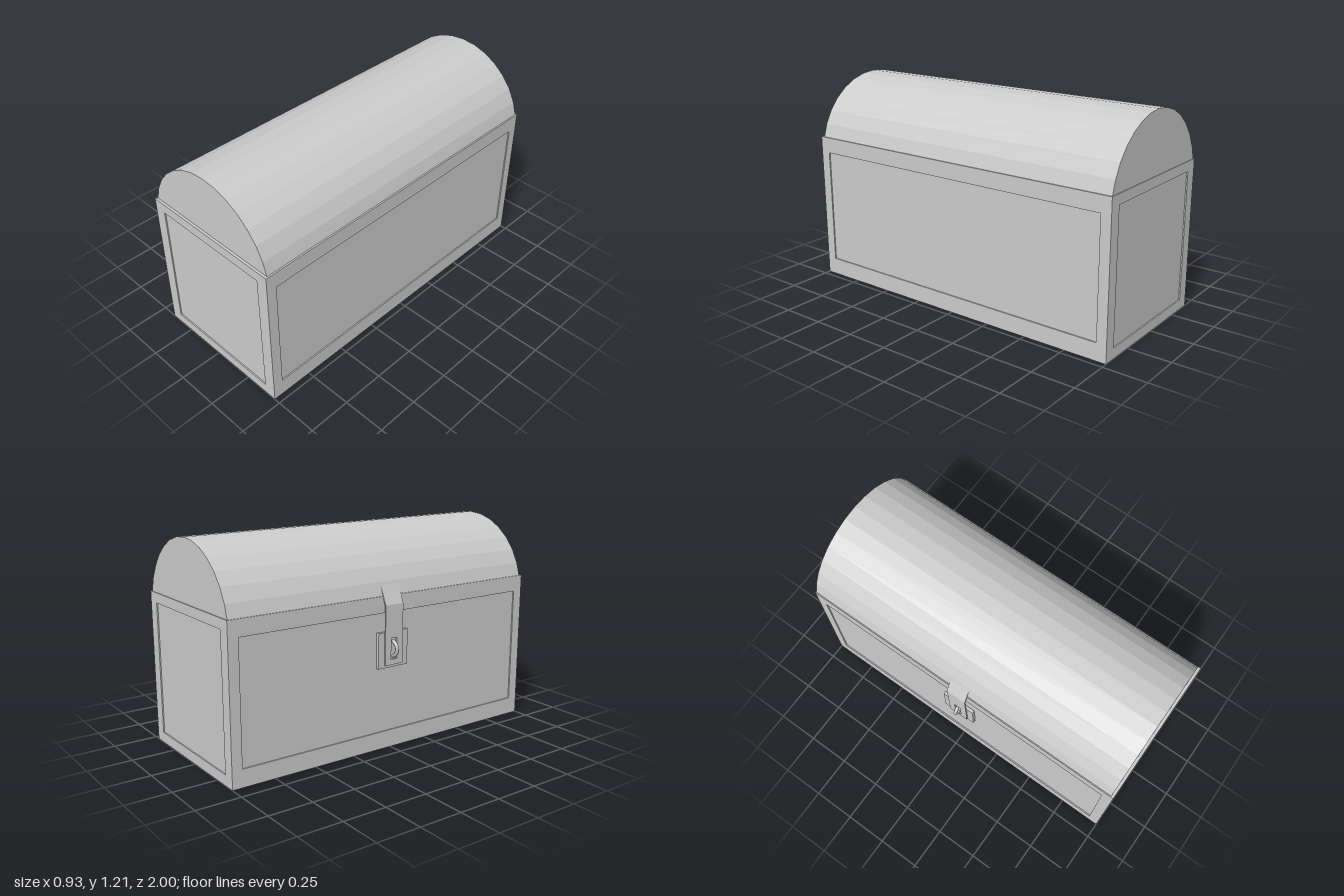
import * as THREE from 'three';

const MID = 0.0275, HALF_W = 0.4375, HEIGHT = 0.867, RECESS = 0.007;

const rect = (Type, x0, y0, x1, y1) => {
  const p = new Type();
  p.moveTo(x0, y0);
  p.lineTo(x1, y0);
  p.lineTo(x1, y1);
  p.lineTo(x0, y1);
  p.closePath();
  return p;
};

export function createModel() {
  const group = new THREE.Group();
  const material = new THREE.MeshStandardMaterial({ color: 0xcccccc, flatShading: true });
  const smooth = new THREE.MeshStandardMaterial({ color: 0xcccccc });

  const add = (name, geometry, x = 0, y = 0, z = 0, mat = material) => {
    const mesh = new THREE.Mesh(geometry, mat);
    mesh.name = name;
    mesh.position.set(x, y, z);
    group.add(mesh);
    return mesh;
  };
  const extrude = (shape, depth) =>
    new THREE.ExtrudeGeometry(shape, { depth, bevelEnabled: false });

  // Body: its faces form the recessed panels
  add('body', new THREE.BoxGeometry(2 * (HALF_W - RECESS), HEIGHT - 0.002, 2 * (1 - RECESS)),
    MID, HEIGHT / 2, 0);

  // Raised rectangular frame around each panel
  const frame = (name, half, stile, bottom, top, turn, x, z) => {
    const shape = rect(THREE.Shape, -half, 0, half, HEIGHT);
    shape.holes.push(rect(THREE.Path, -half + stile, bottom, half - stile, top));
    add(name, extrude(shape, RECESS), x, 0, z).rotation.y = turn;
  };
  frame('frontFrame', HALF_W, 0.071, 0.06, 0.81, 0, MID, 1 - RECESS);
  frame('backFrame', HALF_W, 0.071, 0.06, 0.81, Math.PI, MID, -1 + RECESS);
  frame('leftFrame', 1, 0.06, 0.1, 0.775, Math.PI / 2, MID + HALF_W - RECESS, 0);
  frame('rightFrame', 1, 0.06, 0.1, 0.775, -Math.PI / 2, MID - HALF_W + RECESS, 0);

  // Barrel lid: faceted arc, slightly shorter than the body
  const arc = [];
  for (let i = -7; i <= 7; i++) {
    const a = (i * Math.PI) / 16;
    arc.push(new THREE.Vector2(0.441 * Math.sin(a), 0.772 + 0.441 * Math.cos(a)));
  }
  add('lid', extrude(new THREE.Shape(arc), 1.98), 0.025, 0, -0.995);

  // Latch backing plate
  add('latchPlate', new THREE.BoxGeometry(0.018, 0.2, 0.2), -0.415, 0.57, 0);

  // Hasp: slotted vertical strap and a bent upper tab lying on the lid
  const strap = rect(THREE.Shape, -0.06, 0.485, 0.06, 0.82);
  strap.holes.push(rect(THREE.Path, -0.02, 0.515, 0.02, 0.635));
  add('haspStrap', extrude(strap, 0.008), -0.425, 0, 0).rotation.y = -Math.PI / 2;
  const tab = new THREE.Shape([
    [-0.433, 0.82], [-0.425, 0.818], [-0.375, 0.93], [-0.378, 0.945],
  ].map(([x, y]) => new THREE.Vector2(x, y)));
  add('haspTab', extrude(tab, 0.12), 0, 0, -0.06);

  // Staple loop projecting through the slot
  const staple = new THREE.TorusGeometry(0.042, 0.01, 8, 20, Math.PI);
  add('staple', staple, -0.416, 0.573, 0, smooth).rotation.z = Math.PI / 2;

  return group;
}
